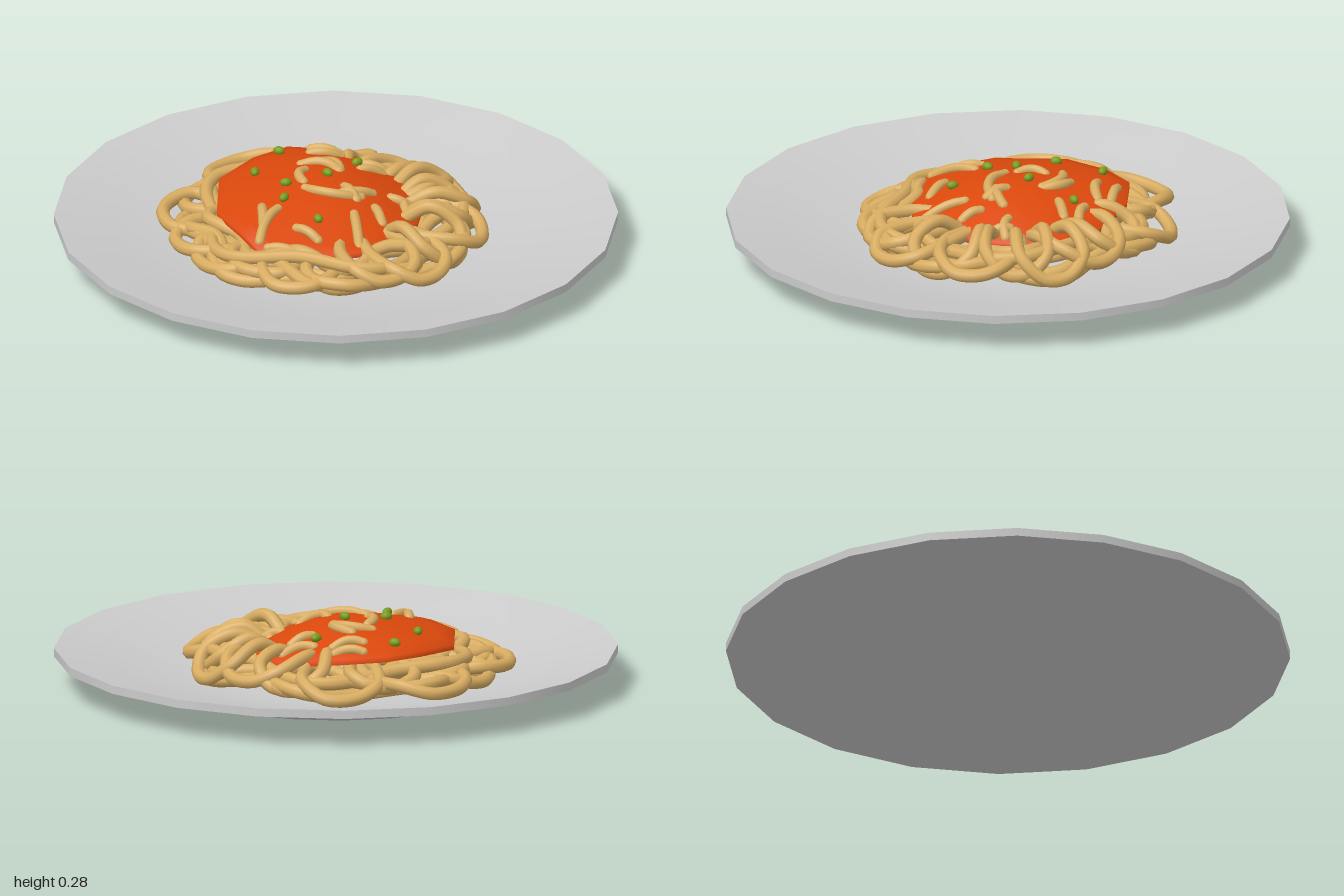
import * as THREE from 'three';

const NOODLE_R = 0.024;
const noodleMat = new THREE.MeshStandardMaterial({ color: 0xd9ad62 });
const sauceMat = new THREE.MeshStandardMaterial({ color: 0xdb480c, side: THREE.DoubleSide });
const peaMat = new THREE.MeshStandardMaterial({ color: 0x7a9a1a });
const plateMat = new THREE.MeshStandardMaterial({ color: 0xcccccc });

function add(group, name, geometry, material) {
  const mesh = new THREE.Mesh(geometry, material);
  mesh.name = name;
  group.add(mesh);
  return mesh;
}

const polar = (a, r, y) => new THREE.Vector3(Math.cos(a) * r, y, Math.sin(a) * r);

// Height of the sauce: a lopsided, gently lumpy dome
function sauceY(x, z) {
  const t2 = ((x + 0.08) / 0.38) ** 2 + (z / 0.41) ** 2;
  const lumps = 0.012 * Math.sin(9 * x + 1) * Math.cos(8 * z);
  return Math.max(0.14, 0.158 + 0.092 * (1 - t2) - 0.06 * (x + 0.08) - 0.05 * z + lumps);
}

// Noodle with rounded ends, or a closed loop
function noodle(group, name, points, closed = false, segments = 48, radius = NOODLE_R) {
  const curve = new THREE.CatmullRomCurve3(points, closed);
  add(group, name, new THREE.TubeGeometry(curve, segments, radius, 8, closed), noodleMat);
  if (closed) return;
  for (const end of [points[0], points[points.length - 1]]) {
    add(group, name + 'End', new THREE.SphereGeometry(radius, 8, 6), noodleMat).position.copy(end);
  }
}

function buildPlate(group) {
  const outside = [[0, 0], [0.57, 0], [0.8, 0.068], [1, 0.107]];
  const rim = [[1, 0.107], [1, 0.137]];
  const inside = [[1, 0.137], [0.8, 0.095], [0.58, 0.045], [0.4, 0.032], [0, 0.03]];
  const lathe = (name, pts) => add(group, name,
    new THREE.LatheGeometry(pts.map(p => new THREE.Vector2(...p)), 20), plateMat);
  lathe('plateUnderside', outside);
  lathe('plateRim', rim);
  lathe('plateInside', inside);
}

function buildNoodles(group) {
  // Outer loops: angle (degrees, from +x towards +z), half-width, reach, hump height
  const loops = [
    [-108, 15, 0.60, 0.16], [-84, 16, 0.51, 0.21], [-64, 17, 0.52, 0.20], [-41, 15, 0.54, 0.22],
    [-25, 15, 0.50, 0.22], [-5, 15, 0.55, 0.17], [12, 16, 0.51, 0.22], [34, 14, 0.56, 0.16],
    [50, 15, 0.53, 0.17], [70, 17, 0.51, 0.15], [92, 14, 0.555, 0.13], [112, 16, 0.52, 0.13],
    [131, 15, 0.57, 0.13], [149, 13, 0.60, 0.13], [172, 15, 0.64, 0.12], [191, 15, 0.61, 0.13],
    [216, 15, 0.66, 0.14], [232, 15, 0.54, 0.17],
  ];
  loops.forEach(([deg, wide, reach, hump], i) => {
    const a = THREE.MathUtils.degToRad(deg), w = THREE.MathUtils.degToRad(wide);
    const skew = 0.12 * Math.sin(i * 2.3), low = 0.078 + 0.012 * (i % 3);
    noodle(group, 'noodleLoop', [
      polar(a - w * 1.3 + skew, 0.24, 0.14),
      polar(a - w * 1.25 + skew * 0.6, reach * 0.68, hump - 0.02),
      polar(a - w * 0.95, reach * 0.88, (hump + low) / 2 - 0.01),
      polar(a - w * 0.35, reach - 0.028, low),
      polar(a + w * 0.35, reach - 0.024, low),
      polar(a + w * 0.95, reach * 0.87, (hump + low) / 2),
      polar(a + w * 1.2 - skew * 0.6, reach * 0.66, hump - 0.025),
      polar(a + w * 1.1 - skew, 0.24, 0.14),
    ]);
  });

  // Long wavy strands wound around the heap
  const rings = [
    [0.49, 0.085, 7, 0.035], [0.46, 0.10, 9, 0.045], [0.44, 0.13, 5, 0.04],
    [0.39, 0.13, 8, 0.04], [0.36, 0.09, 6, 0.03],
  ];
  rings.forEach(([r, y, waves, swing], i) => {
    const pts = [];
    for (let k = 0; k < 40; k++) {
      const a = k / 40 * Math.PI * 2;
      const p = polar(a, r + swing * Math.sin(waves * a + i * 1.7), y + 0.018 * Math.cos((waves - 2) * a + i));
      p.x -= 0.03;
      pts.push(p);
    }
    noodle(group, 'noodleRing', pts, true, 160);
  });
}

function buildSauce(group) {
  // Outline of the puddle as x, z corners
  const edge = [[-0.13, -0.40], [0.08, -0.37], [0.20, -0.33], [0.25, -0.25], [0.28, -0.13],
    [0.30, 0], [0.26, 0.11], [0.235, 0.25], [0.09, 0.34], [-0.14, 0.41], [-0.26, 0.32],
    [-0.38, 0.20], [-0.45, -0.05], [-0.38, -0.23], [-0.29, -0.35]];
  const n = edge.length, rings = 7, cx = -0.08;
  const position = [cx, sauceY(cx, 0), 0], index = [];
  for (let j = 1; j <= rings + 1; j++) {
    const t = Math.min(j, rings) / rings;
    for (const [ex, ez] of edge) {
      const x = cx + (ex - cx) * t, z = ez * t;
      // The last ring drops straight down to give the edge thickness
      position.push(x, sauceY(x, z) - (j > rings ? 0.02 : 0), z);
    }
  }
  for (let i = 0; i < n; i++) {
    const next = (i + 1) % n;
    index.push(0, 1 + next, 1 + i);
    for (let j = 0; j < rings; j++) {
      const a = 1 + j * n + i, b = 1 + j * n + next;
      index.push(a, b, a + n, b, b + n, a + n);
    }
  }
  const g = new THREE.BufferGeometry();
  g.setAttribute('position', new THREE.Float32BufferAttribute(position, 3));
  g.setIndex(index);
  g.computeVertexNormals();
  add(group, 'sauce', g, sauceMat);
}

function buildToppings(group) {
  // Noodle pieces showing through the sauce: x, z, angle (degrees), length, bend
  const pieces = [
    [-0.13, -0.29, -22, 0.11, 0.01], [-0.15, -0.345, -8, 0.10, 0], [0.05, -0.30, -12, 0.11, 0.01],
    [0.06, -0.225, -35, 0.08, 0], [0.25, -0.27, 45, 0.07, 0], [-0.10, -0.13, 8, 0.15, -0.03],
    [-0.07, -0.16, 35, 0.11, -0.02], [0.135, 0.185, 65, 0.14, 0], [-0.02, 0.275, 15, 0.09, 0],
    [-0.165, 0.27, 95, 0.17, 0.01], [-0.20, 0.23, 70, 0.10, 0], [-0.08, 0.37, -5, 0.11, 0],
    [0.22, -0.08, -15, 0.08, 0.01], [0.235, -0.06, 60, 0.07, 0], [0.18, 0.07, 50, 0.07, 0],
    [0.0, 0.035, -8, 0.20, 0.035], [0.08, 0.0, -35, 0.11, 0.01], [-0.13, -0.04, 75, 0.10, 0.02],
    [0.06, 0.02, 40, 0.08, 0],
  ];
  for (const [x, z, deg, len, bend] of pieces) {
    const a = THREE.MathUtils.degToRad(deg), c = Math.cos(a), s = Math.sin(a);
    const pts = [-1, -0.5, 0, 0.5, 1].map(t => {
      const u = t * len / 2, v = bend * (1 - t * t);
      const px = x + u * c - v * s, pz = z + u * s + v * c;
      return new THREE.Vector3(px, sauceY(px, pz) + 0.006 - 0.012 * t * t, pz);
    });
    noodle(group, 'noodlePiece', pts, false, 10, 0.018);
  }

  const peas = [[-0.29, -0.25], [0, -0.25], [-0.32, -0.06], [-0.05, -0.06],
    [-0.175, 0.035], [-0.15, 0.135], [0, 0.21]];
  peas.forEach(([x, z], i) => {
    const pea = add(group, 'pea', new THREE.SphereGeometry(0.018, 10, 8), peaMat);
    pea.position.set(x, sauceY(x, z) + 0.008, z);
    pea.scale.set(1.2, 0.9, 0.9);
    pea.rotation.y = i * 0.9;
  });
}

export function createModel() {
  const model = new THREE.Group();
  model.name = 'spaghettiPlate';
  const parts = { plate: buildPlate, noodles: buildNoodles, sauceLayer: buildSauce, toppings: buildToppings };
  for (const [name, build] of Object.entries(parts)) {
    const group = new THREE.Group();
    group.name = name;
    build(group);
    model.add(group);
  }
  return model;
}
